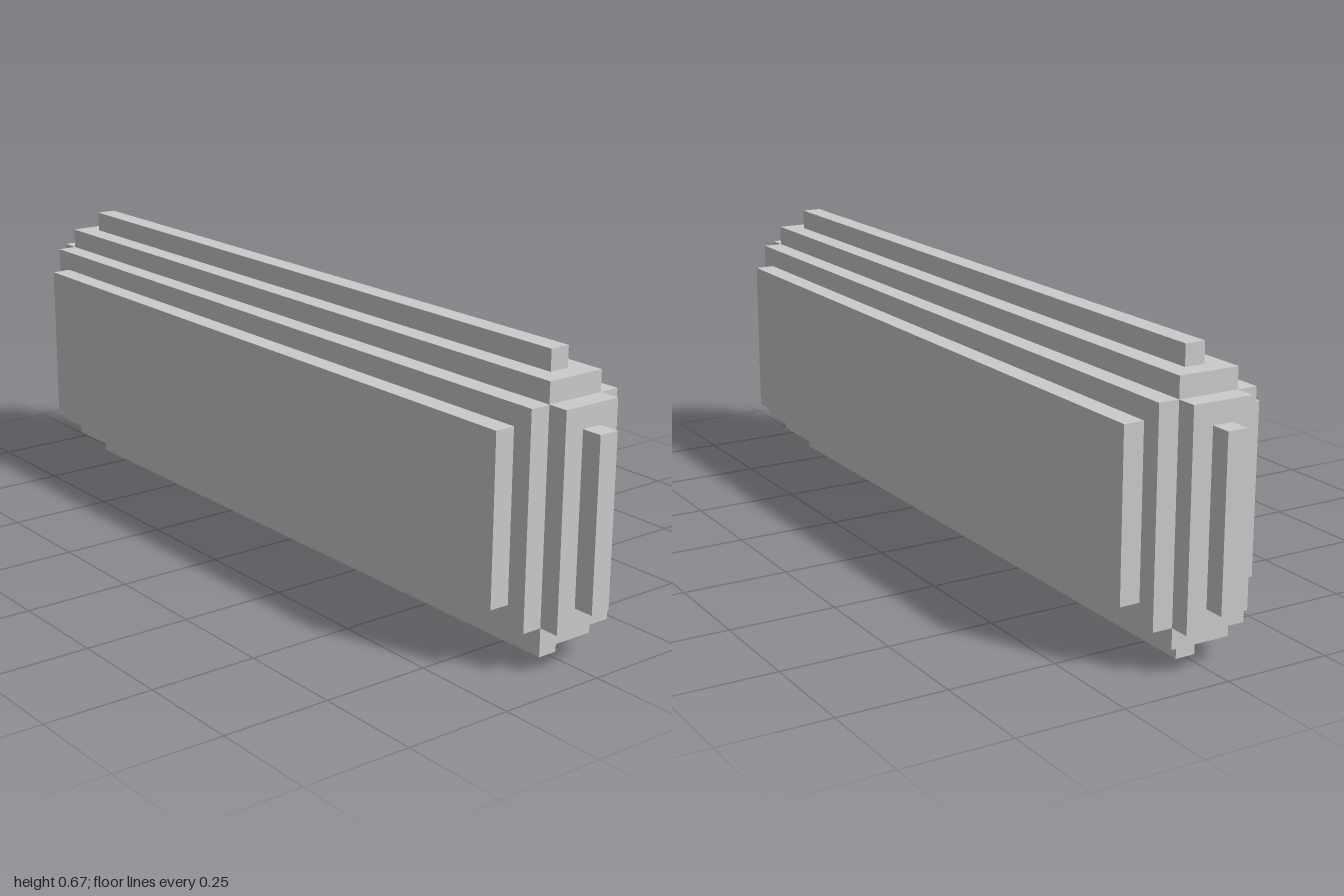
import * as THREE from 'three';

const STEP = 1 / 21; // width of one terrace
const CORE = [18, 4, 0.5]; // half sizes of the core, in steps

// Terrace steps added to the core along x, y and z for each slab
const SLABS = [
  ['endStrips', 3, 0, 0],
  ['endPlates', 2, 1, 1],
  ['topAndBottomPlates', 1, 2, 1],
  ['faceFrames', 1, 1, 2],
  ['topAndBottomStrips', 0, 3, 0],
  ['facePanels', 0, 0, 3],
];

export function createModel() {
  const group = new THREE.Group();
  group.name = 'steppedBlock';
  const material = new THREE.MeshStandardMaterial({ color: 0xcccccc, flatShading: true });

  // Concentric slabs crossing through the middle form the stepped edges
  for (const [name, ...grow] of SLABS) {
    const size = CORE.map((half, axis) => 2 * (half + grow[axis]) * STEP);
    const slab = new THREE.Mesh(new THREE.BoxGeometry(...size), material);
    slab.name = name;
    slab.position.y = 7 * STEP;
    group.add(slab);
  }
  return group;
}
